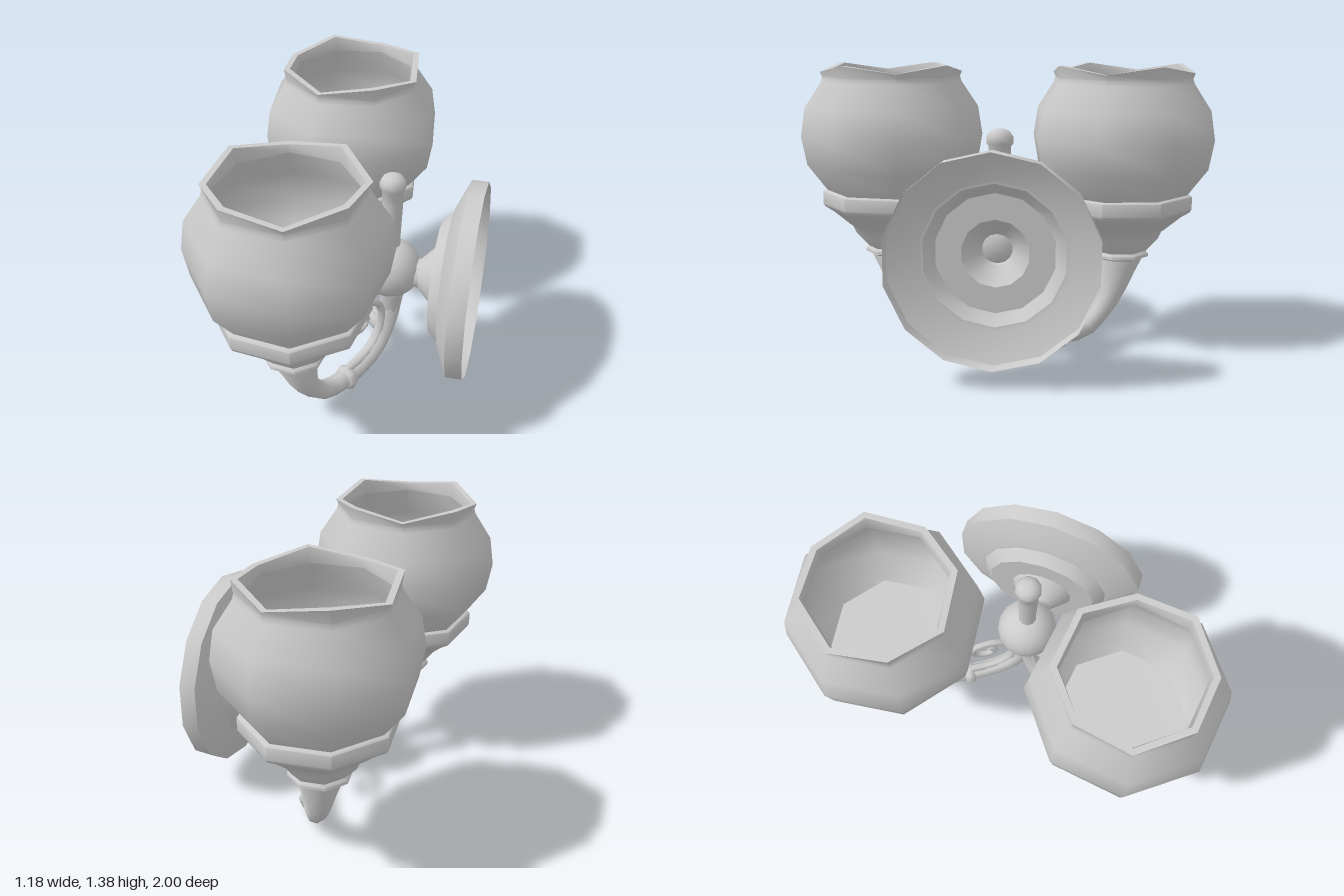
import * as THREE from 'three';
import { toCreasedNormals } from 'three/addons/utils/BufferGeometryUtils.js';

const grey = new THREE.MeshStandardMaterial({ color: 0xcccccc });
const greyThin = new THREE.MeshStandardMaterial({ color: 0xcccccc, side: THREE.DoubleSide });

function add(parent, name, geometry, material = grey) {
  const mesh = new THREE.Mesh(geometry, material);
  mesh.name = name;
  parent.add(mesh);
  return mesh;
}

// Lathe from [radius, height] pairs
function lathe(pairs, sides) {
  return new THREE.LatheGeometry(pairs.map(([r, y]) => new THREE.Vector2(r, y)), sides);
}

// Tube through [x, y] pairs whose radius follows radiusAt(t)
function taperedTube(pairs, segments, sides, radiusAt) {
  const curve = new THREE.CatmullRomCurve3(pairs.map(([x, y]) => new THREE.Vector3(x, y, 0)), false, 'centripetal');
  const geometry = new THREE.TubeGeometry(curve, segments, 1, sides);
  const pos = geometry.attributes.position;
  const v = new THREE.Vector3();
  for (let i = 0; i <= segments; i++) {
    const centre = curve.getPointAt(i / segments);
    for (let j = 0; j <= sides; j++) {
      const k = i * (sides + 1) + j;
      v.fromBufferAttribute(pos, k).sub(centre).multiplyScalar(radiusAt(i / segments)).add(centre);
      pos.setXYZ(k, v.x, v.y, v.z);
    }
  }
  return geometry;
}

// One lamp: arm reaching along local +x, with scroll, collar, cup and shade
function createLamp(name) {
  const lamp = new THREE.Group();
  lamp.name = name;
  const reach = 0.652;

  const armPath = [[-0.02, 0.46], [0.02, 0.27], [0.08, 0.16], [0.17, 0.1], [0.315, 0.07],
    [0.46, 0.085], [0.55, 0.16], [0.61, 0.27], [reach, 0.46]];
  add(lamp, 'arm', taperedTube(armPath, 14, 8, (t) =>
    t < 0.7 ? 0.048 + 0.012 * Math.max(0, 1 - t * 5) : 0.048 + 0.075 * ((t - 0.7) / 0.3) ** 1.5));

  const scrollPath = [[0.31, 0.115], [0.2, 0.13], [0.11, 0.18], [0.065, 0.28], [0.08, 0.39], [0.16, 0.45],
    [0.25, 0.435], [0.29, 0.38], [0.27, 0.33], [0.21, 0.315], [0.17, 0.345], [0.185, 0.385], [0.215, 0.38]];
  add(lamp, 'scroll', taperedTube(scrollPath, 30, 6, (t) => (t === 1 ? 0 : 0.022 - 0.005 * t)));

  const collar = add(lamp, 'collar', toCreasedNormals(lathe(
    [[0.04, -0.03], [0.058, -0.022], [0.066, 0], [0.058, 0.022], [0.04, 0.03]], 8), 0.85));
  collar.position.set(0.315, 0.067, 0);
  collar.rotation.z = -Math.PI / 2;

  // Stepped cup under the shade
  const cup = lathe([[0, 0.435], [0.125, 0.435], [0.148, 0.445], [0.148, 0.46], [0.135, 0.472], [0.195, 0.54],
    [0.21, 0.575], [0.225, 0.585], [0.3, 0.65], [0.345, 0.68], [0.353, 0.695], [0.353, 0.755],
    [0.345, 0.762], [0, 0.762]], 8);
  add(lamp, 'cup', toCreasedNormals(cup, 0.85)).position.x = reach;

  // Hollow shade with a scalloped rim
  const shade = lathe([[0.325, 0.755], [0.425, 0.89], [0.45, 1.03], [0.428, 1.17], [0.345, 1.295], [0.338, 1.32],
    [0.348, 1.362], [0.318, 1.362], [0.308, 1.31], [0.4, 1.16], [0.42, 1.03], [0.395, 0.9], [0.3, 0.775],
    [0, 0.77]], 8);
  const pos = shade.attributes.position;
  for (let i = 0; i < pos.count; i++) {
    if (pos.getY(i) > 1.34) {
      const angle = Math.atan2(pos.getZ(i), pos.getX(i));
      pos.setY(i, pos.getY(i) + 0.018 * Math.cos(4 * angle));
    }
  }
  add(lamp, 'shade', toCreasedNormals(shade, 0.85)).position.x = reach;
  return lamp;
}

export function createModel() {
  const model = new THREE.Group();
  model.name = 'wallLamp';
  const hubX = 0.17, hubY = 0.57;

  // Central ball and the post on top of it
  add(model, 'hubBall', new THREE.SphereGeometry(0.147, 16, 12)).position.set(hubX, hubY + 0.01, 0);
  const post = lathe([[0.045, 0.66], [0.042, 0.76], [0.05, 0.95], [0.052, 1.02], [0.062, 1.035], [0.062, 1.065],
    [0.045, 1.09], [0.02, 1.1], [0, 1.1]], 10);
  add(model, 'post', toCreasedNormals(post, 0.85)).position.x = hubX;

  // Open-backed wall plate with its neck, turned to lie along x
  const plate = lathe([[0.07, 0.29], [0.073, 0.315], [0.112, 0.352], [0.155, 0.396], [0.275, 0.396], [0.325, 0.447],
    [0.342, 0.449], [0.48, 0.51], [0.48, 0.59]], 14);
  plate.rotateY(Math.PI / 2).rotateZ(-Math.PI / 2);
  add(model, 'wallPlate', toCreasedNormals(plate, 0.6), greyThin).position.y = hubY - 0.003;

  // Two lamps, 120 degrees either side of the plate
  for (const side of [1, -1]) {
    const lamp = createLamp(side > 0 ? 'frontLamp' : 'backLamp');
    lamp.position.x = hubX;
    lamp.rotation.y = -side * Math.PI * 2 / 3;
    model.add(lamp);
  }
  return model;
}
